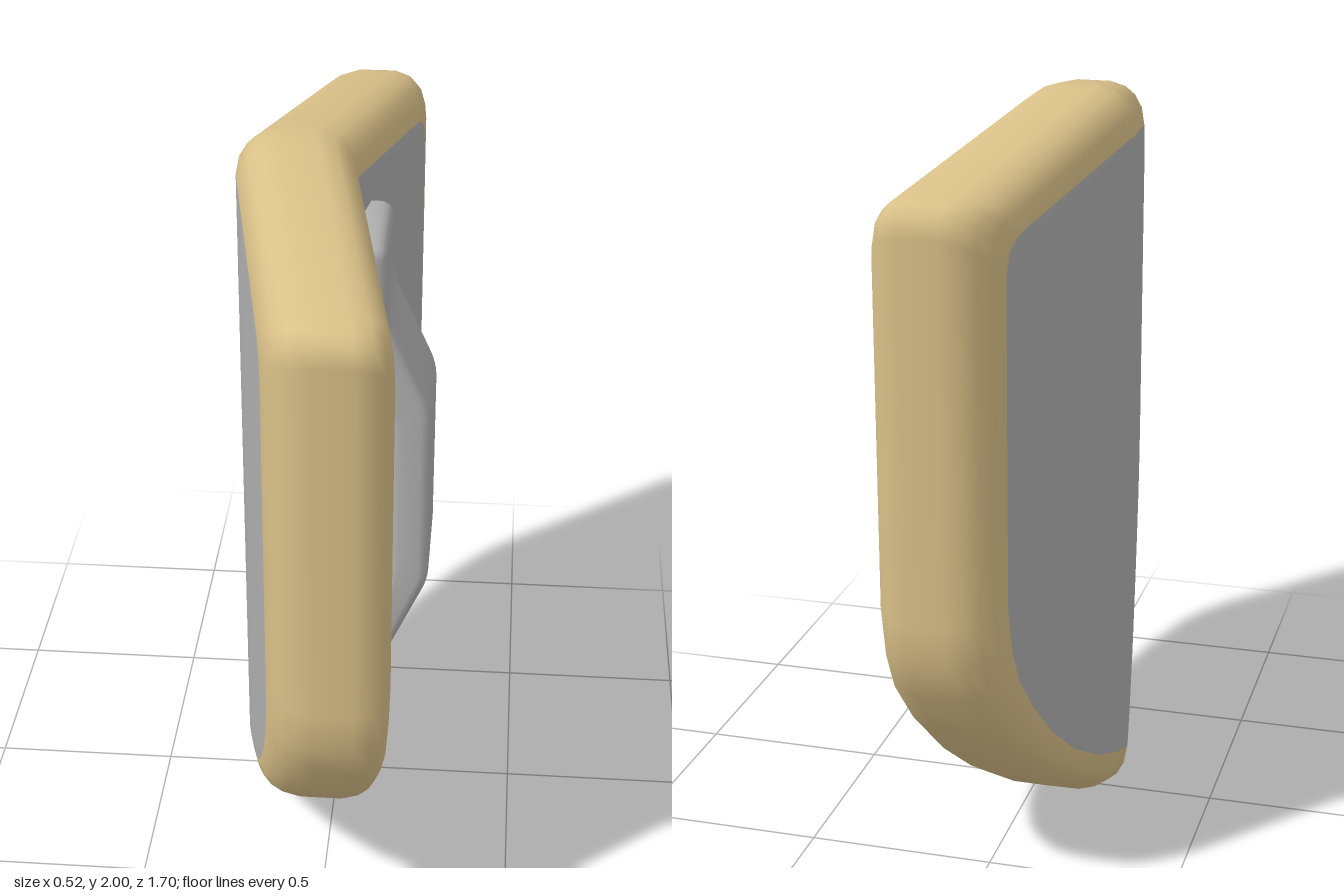
import * as THREE from 'three';
import { mergeVertices, toCreasedNormals } from 'three/addons/utils/BufferGeometryUtils.js';

const gold = new THREE.MeshStandardMaterial({ color: 0xd9c088 });
gold.name = 'gold rim';
const steel = new THREE.MeshStandardMaterial({ color: 0xb0b0b0 });
steel.name = 'grey steel';

// Half outlines as [z, y], from the top point down to the bottom tip.
const OUTER = [[0, 2], [0.06, 1.993], [0.77, 1.872], [0.805, 1.862], [0.835, 1.84], [0.85, 1.79], [0.85, 0.83],
  [0.835, 0.72], [0.8, 0.62], [0.71, 0.49], [0.585, 0.36], [0.44, 0.24], [0.27, 0.125], [0.08, 0.02], [0, 0]];
const INNER = [[0, 1.88], [0.06, 1.872], [0.62, 1.778], [0.67, 1.767], [0.71, 1.74], [0.73, 1.69], [0.73, 0.85],
  [0.71, 0.73], [0.67, 0.63], [0.59, 0.52], [0.48, 0.4], [0.35, 0.29], [0.2, 0.2], [0.06, 0.145], [0, 0.135]];

// Rim cross-section: [offset through the thickness, share of the inset]
const RIM = [[-0.155, 1], [-0.145, 0.58], [-0.125, 0.3], [-0.095, 0.11], [-0.05, 0],
  [0.05, 0], [0.095, 0.11], [0.125, 0.3], [0.145, 0.58], [0.155, 1]];

// The whole board is folded along its vertical centre line.
const place = (t, z, y) => [-0.105 + 0.19 * Math.abs(z) + t, y, z];

function mirrored(half) {
  return [...half, ...half.slice(1, -1).reverse().map(([z, y]) => [-z, y])];
}

function makeShield() {
  const outer = mirrored(OUTER), inner = mirrored(INNER), n = outer.length;
  const pos = [];
  const quad = (a, b, c, d) => pos.push(...a, ...b, ...c, ...a, ...c, ...d);

  // rounded rim
  const rimPoint = (r, i) => {
    const [t, u] = RIM[r], o = outer[i % n], q = inner[i % n];
    return place(t, o[0] + (q[0] - o[0]) * u, o[1] + (q[1] - o[1]) * u);
  };
  for (let r = 0; r < RIM.length - 1; r++)
    for (let i = 0; i < n; i++)
      quad(rimPoint(r, i), rimPoint(r, i + 1), rimPoint(r + 1, i + 1), rimPoint(r + 1, i));
  const rimCount = pos.length / 3;

  // front and back panels, as strips running in to the ridge
  const steps = [1, 0.7, 0.3, 0];
  for (const t of [-0.155, 0.155])
    for (let i = 0; i < n; i++)
      for (let s = 0; s < steps.length - 1; s++) {
        const p = inner[i], q = inner[(i + 1) % n];
        const c = [place(t, p[0] * steps[s], p[1]), place(t, q[0] * steps[s], q[1]),
          place(t, q[0] * steps[s + 1], q[1]), place(t, p[0] * steps[s + 1], p[1])];
        quad(...(t > 0 ? c : c.reverse()));
      }

  let geo = new THREE.BufferGeometry();
  geo.setAttribute('position', new THREE.Float32BufferAttribute(pos, 3));
  geo = mergeVertices(geo, 1e-4);
  geo.clearGroups();
  geo.addGroup(0, rimCount, 0);
  geo.addGroup(rimCount, pos.length / 3 - rimCount, 1);
  geo.computeVertexNormals();
  const mesh = new THREE.Mesh(geo, [gold, steel]);
  mesh.name = 'shieldBoard';
  return mesh;
}

// Closed shape with every corner rounded by radius r
function roundedShape(points, r) {
  const v = points.map(([x, y]) => new THREE.Vector2(x, y));
  const shape = new THREE.Shape();
  v.forEach((p, i) => {
    const a = v[(i + v.length - 1) % v.length], b = v[(i + 1) % v.length];
    const from = p.clone().add(a.clone().sub(p).setLength(r));
    const to = p.clone().add(b.clone().sub(p).setLength(r));
    if (i === 0) shape.moveTo(from.x, from.y);
    else shape.lineTo(from.x, from.y);
    shape.quadraticCurveTo(p.x, p.y, to.x, to.y);
  });
  shape.closePath();
  return shape;
}

function makeHandle() {
  // side profile of the bent strap: [x, y]
  const outside = [[0.135, 0.3], [0.135, 0.5], [0.256, 0.77], [0.256, 1.29], [0.135, 1.56], [0.135, 1.76]];
  const inside = [[0.03, 1.76], [0.03, 1.54], [0.15, 1.27], [0.15, 0.79], [0.03, 0.52], [0.03, 0.3]];
  const bevel = 0.025, width = 0.312;
  const geo = new THREE.ExtrudeGeometry(roundedShape([...outside, ...inside], 0.042), {
    depth: width - 2 * bevel, curveSegments: 5,
    bevelEnabled: true, bevelSize: bevel, bevelThickness: bevel, bevelOffset: -bevel, bevelSegments: 3
  });
  geo.translate(0, 0, -width / 2 + bevel);
  geo.clearGroups();
  const mesh = new THREE.Mesh(toCreasedNormals(geo, 0.7), steel);
  mesh.name = 'handle';
  return mesh;
}

export function createModel() {
  const group = new THREE.Group();
  group.name = 'shield';
  group.add(makeShield(), makeHandle());
  return group;
}
